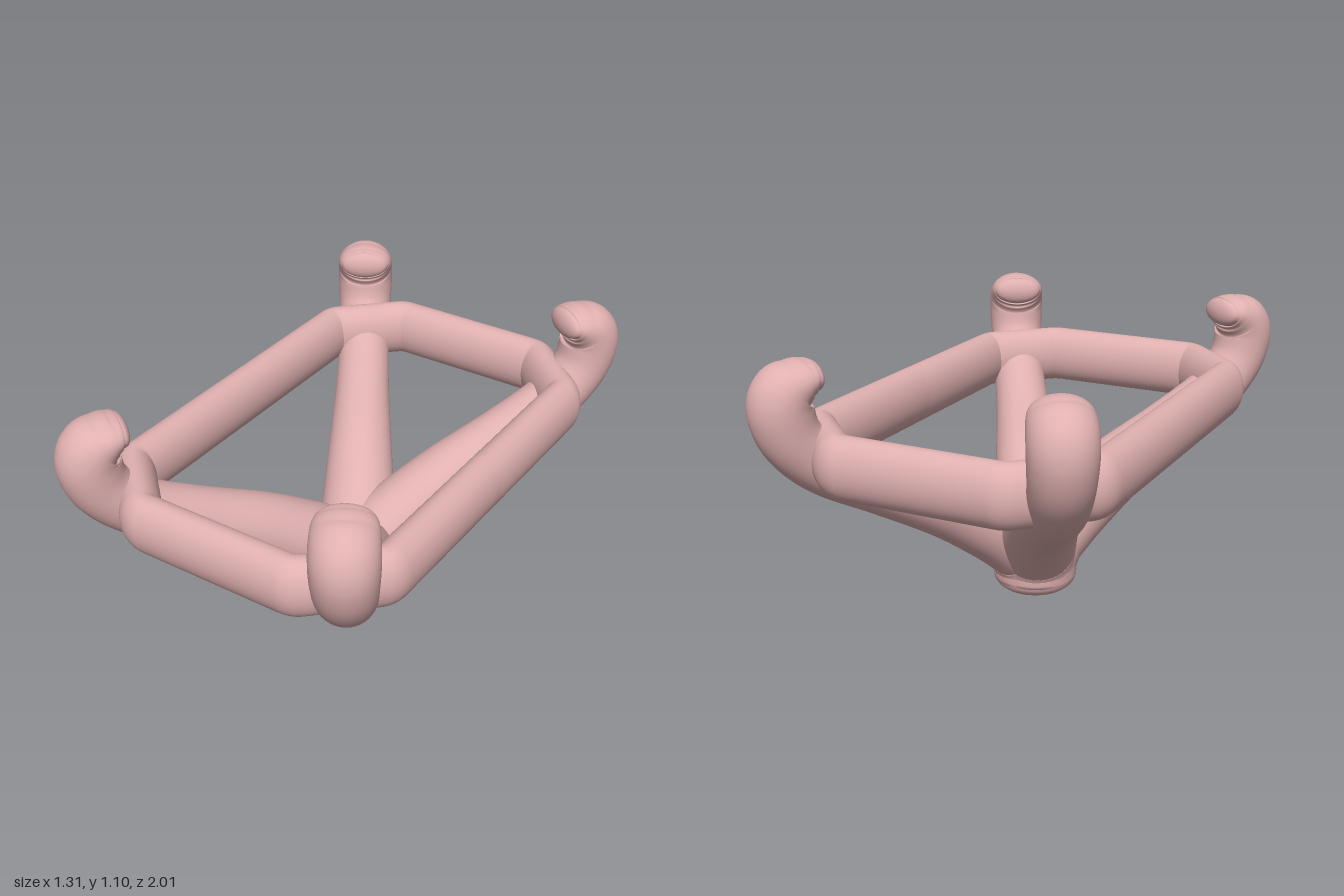
import * as THREE from 'three';

const material = new THREE.MeshStandardMaterial({ color: 0xe0b0b0 });
const SIDES = 40;

// Smooth skin over rows of points; each row is a closed loop
function skin(rows) {
  const n = rows[0].length;
  const index = [];
  for (let i = 0; i < rows.length - 1; i++) {
    for (let j = 0; j < n; j++) {
      const a = i * n + j, b = i * n + (j + 1) % n;
      index.push(a, b, a + n, b, b + n, a + n);
    }
  }
  const geometry = new THREE.BufferGeometry().setFromPoints(rows.flat());
  geometry.setIndex(index);
  geometry.computeVertexNormals();
  return geometry;
}

// Elliptical loop around a centre, spanned by the axes n and b
function loop(centre, n, b, rn, rb) {
  return Array.from({ length: SIDES }, (_, j) => {
    const a = (j / SIDES) * Math.PI * 2;
    return centre.clone().addScaledVector(n, rn * Math.cos(a)).addScaledVector(b, rb * Math.sin(a));
  });
}

// Curved arm with an inward hook, swept in its own vertical plane
function armGeometry() {
  // distance outward, height, radius in the plane, radius across it
  const stations = [
    [0, 0.08, 0.165, 0.165], [0.012, 0.148, 0.163, 0.164], [0.047, 0.209, 0.16, 0.16],
    [0.09, 0.248, 0.156, 0.156], [0.2, 0.328, 0.147, 0.148], [0.4, 0.452, 0.132, 0.132],
    [0.65, 0.576, 0.115, 0.115], [0.88, 0.695, 0.109, 0.109], [0.998, 0.81, 0.112, 0.112],
    [1.037, 0.92, 0.117, 0.117], [1.02, 0.988, 0.11, 0.117], [0.972, 1.023, 0.082, 0.113],
    [0.938, 1.034, 0.065, 0.106], [0.92, 1.035, 0.055, 0.096],
  ];
  const path = new THREE.CatmullRomCurve3(stations.map(([s, y]) => new THREE.Vector3(s, y, 0)), false, 'catmullrom');
  const size = new THREE.CatmullRomCurve3(stations.map(([, , r, w]) => new THREE.Vector3(r, w, 0)), false, 'catmullrom');
  const across = new THREE.Vector3(0, 0, 1);
  const rows = [];
  const steps = 91;
  for (let i = 0; i <= steps; i++) {
    const t = i / steps;
    const tangent = i ? path.getTangent(t) : new THREE.Vector3(0, 1, 0);
    const normal = new THREE.Vector3().crossVectors(across, tangent);
    const r = size.getPoint(t);
    rows.push(loop(path.getPoint(t), normal, across, r.x, r.y));
  }
  // rounded tip
  const end = path.getPoint(1), dir = path.getTangent(1), r = size.getPoint(1);
  const normal = new THREE.Vector3().crossVectors(across, dir);
  for (let k = 1; k <= 8; k++) {
    const a = (k / 8) * Math.PI / 2;
    const c = end.clone().addScaledVector(dir, 0.032 * Math.sin(a));
    rows.push(loop(c, normal, across, r.x * Math.cos(a), r.y * Math.cos(a)));
  }
  return skin(rows);
}

// Eight-sided frame of upright oval section with softened corners
function frameGeometry() {
  const corners = [
    [0.553, 0.652], [0.325, 0.872], [-0.325, 0.872], [-0.553, 0.652],
    [-0.553, -0.652], [-0.325, -0.872], [0.325, -0.872], [0.553, -0.652],
  ].map(([x, z]) => new THREE.Vector3(x, 0.748, z));
  const up = new THREE.Vector3(0, 1, 0);
  const rows = [];
  const addRow = (p, tangent) =>
    rows.push(loop(p, new THREE.Vector3().crossVectors(up, tangent), up, 0.078, 0.117));
  const start = new THREE.Vector3(0.553, 0.748, 0), forward = new THREE.Vector3(0, 0, 1);
  addRow(start, forward);
  corners.forEach((c, i) => {
    const before = corners[(i + 7) % 8].clone().sub(c).setLength(0.03).add(c);
    const after = corners[(i + 1) % 8].clone().sub(c).setLength(0.03).add(c);
    const bend = new THREE.QuadraticBezierCurve3(before, c, after);
    for (let k = 0; k <= 6; k++) addRow(bend.getPoint(k / 6), bend.getTangent(k / 6));
  });
  addRow(start, forward);
  return skin(rows);
}

export function createModel() {
  const model = new THREE.Group();
  model.name = 'hookedCradle';
  const add = (name, geometry) => {
    const mesh = new THREE.Mesh(geometry, material);
    mesh.name = name;
    model.add(mesh);
    return mesh;
  };

  // Rounded foot
  const foot = [[0, 0.004], [0.06, 0.008], [0.1, 0.017], [0.13, 0.029], [0.15, 0.044], [0.161, 0.06], [0.165, 0.08]];
  add('foot', new THREE.LatheGeometry(foot.map(([x, y]) => new THREE.Vector2(x, y)), 48));

  // Four arms spreading to the corners
  const arm = armGeometry();
  for (const [side, sx] of [['Left', 1], ['Right', -1]]) {
    for (const [end, sz] of [['front', 1], ['back', -1]]) {
      add(`${end}${side}Arm`, arm).rotation.y = Math.atan2(-0.855 * sz, 0.519 * sx);
    }
  }

  // Frame joining the arms
  add('frame', frameGeometry());
  return model;
}
